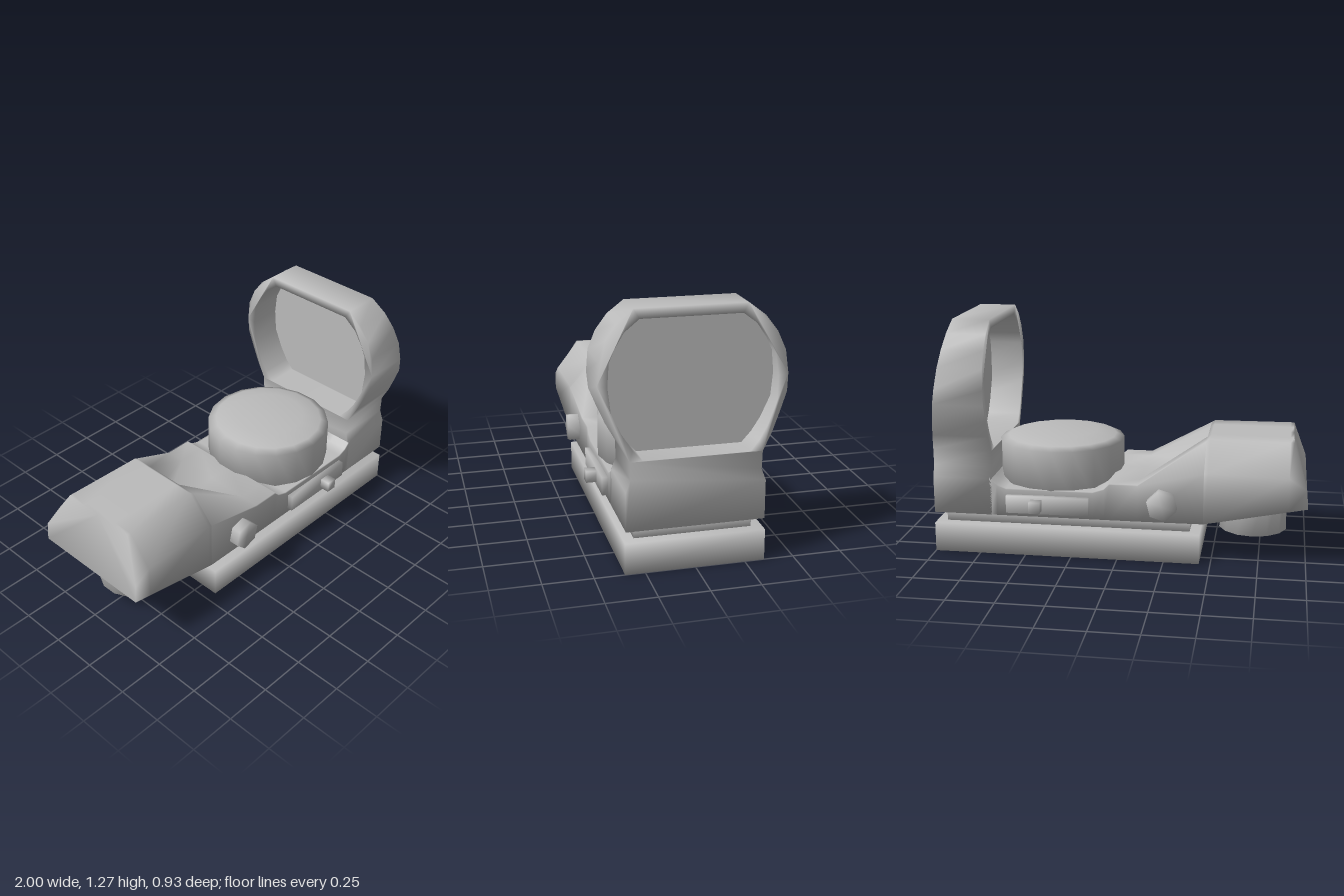
import * as THREE from 'three';
import { mergeVertices } from 'three/addons/utils/BufferGeometryUtils.js';

const grey = new THREE.MeshStandardMaterial({ color: 0xbbbbbb });
grey.name = 'grey';
const paneGrey = new THREE.MeshStandardMaterial({ color: 0xbbbbbb, side: THREE.DoubleSide });
paneGrey.name = 'pane grey';

// Weld corners so the shading rolls softly over every edge
function smooth(geo) {
  geo.deleteAttribute('uv');
  geo.deleteAttribute('normal');
  const g = mergeVertices(geo, 1e-4);
  g.computeVertexNormals();
  return g;
}

function part(group, name, geo, mat = grey) {
  const mesh = new THREE.Mesh(geo, mat);
  mesh.name = name;
  group.add(mesh);
  return mesh;
}

// Box given by its limits on each axis
function slab(x0, x1, y0, y1, z0, z1) {
  const g = new THREE.BoxGeometry(x1 - x0, y1 - y0, z1 - z0);
  g.translate((x0 + x1) / 2, (y0 + y1) / 2, (z0 + z1) / 2);
  return smooth(g);
}

// Body lofted along x: humped tail, sighting groove, dip under the dial
function bodyGeometry() {
  // x, bottom, side top, top, top half width, groove half width, groove floor, end lean
  const stations = [
    [-1, 0.33, 0.43, 0.65, 0.22, 0.11, 0.65, 0.08],
    [-0.9, 0.31, 0.49, 0.65, 0.22, 0.11, 0.65, 0],
    [-0.48, 0.226, 0.5, 0.65, 0.21, 0.11, 0.65, 0],
    [-0.46, 0.222, 0.495, 0.638, 0.215, 0.11, 0.638, 0],
    [-0.458, 0.222, 0.495, 0.637, 0.215, 0.11, 0.44, 0],
    [-0.11, 0.22, 0.415, 0.42, 0.34, 0.235, 0.42, 0],
    [0.04, 0.22, 0.415, 0.42, 0.34, 0.235, 0.42, 0],
    [0.07, 0.22, 0.385, 0.39, 0.34, 0.235, 0.39, 0],
    [0.13, 0.22, 0.365, 0.37, 0.34, 0.235, 0.37, 0],
    [0.6, 0.22, 0.365, 0.37, 0.34, 0.235, 0.37, 0],
    [0.65, 0.22, 0.385, 0.39, 0.34, 0.235, 0.39, 0],
    [0.69, 0.22, 0.425, 0.43, 0.34, 0.235, 0.43, 0],
  ];
  const pos = [], idx = [], n = 11;
  for (const [x, yb, ys, yt, zt, g, yf, lean] of stations) {
    const half = [[0, yf], [g, yf], [g, yt], [zt, yt], [0.345, ys], [0.345, yb]];
    const loop = [...half, ...half.slice(1).reverse().map(([z, y]) => [-z, y])];
    for (const [z, y] of loop) pos.push(x + lean * ((y - yb) / (yt - yb)) ** 2, y, z);
  }
  const last = (stations.length - 1) * n;
  for (let s = 0; s < stations.length - 1; s++) {
    for (let i = 0; i < n; i++) {
      const a = s * n + i, b = s * n + (i + 1) % n;
      idx.push(a, b, a + n, b, b + n, a + n);
    }
  }
  for (let i = 1; i < n - 1; i++) {
    idx.push(0, i + 1, i, last, last + i, last + i + 1);
  }
  const geo = new THREE.BufferGeometry();
  geo.setAttribute('position', new THREE.Float32BufferAttribute(pos, 3));
  geo.setIndex(idx);
  return smooth(geo);
}

// Closed outline mirrored about the centre line
function mirrored(half) {
  const pts = [...half, ...half.slice().reverse().map(([x, y]) => [-x, y])];
  return pts.map(([x, y]) => new THREE.Vector2(x, y));
}

const outer = mirrored([
  [0.345, 0.22], [0.345, 0.42], [0.322, 0.48], [0.325, 0.57], [0.375, 0.66], [0.417, 0.755],
  [0.454, 0.845], [0.463, 0.93], [0.454, 1.04], [0.417, 1.13], [0.36, 1.207], [0.278, 1.27],
]);
const inner = mirrored([
  [0.262, 0.572], [0.31, 0.625], [0.355, 0.695], [0.403, 0.8], [0.414, 0.92],
  [0.403, 1.03], [0.375, 1.09], [0.325, 1.165], [0.25, 1.222],
]);

// Front of the window frame leans back above the neck
const frontX = (y) => 1 - 0.171 * Math.max(0, y - 0.57);

function frameGeometry() {
  const shape = new THREE.Shape(outer);
  shape.holes.push(new THREE.Path(inner));
  const geo = new THREE.ExtrudeGeometry(shape, { depth: 0.32, bevelEnabled: false });
  geo.rotateY(Math.PI / 2);
  geo.translate(0.68, 0, 0);
  const p = geo.attributes.position;
  for (let i = 0; i < p.count; i++) {
    if (p.getX(i) > 0.8) p.setX(i, frontX(p.getY(i)));
  }
  return smooth(geo);
}

export function createModel() {
  const model = new THREE.Group();
  model.name = 'reflexSight';

  // Mounting base and the narrower rail above it
  part(model, 'base', slab(-0.44, 1, 0, 0.16, -0.35, 0.35));
  part(model, 'rail', slab(-0.385, 0.945, 0.15, 0.23, -0.295, 0.295));

  part(model, 'body', bodyGeometry());
  part(model, 'windowFrame', frameGeometry());

  // Upright pane set back inside the frame
  const pane = new THREE.ShapeGeometry(new THREE.Shape(inner));
  pane.rotateY(Math.PI / 2);
  part(model, 'windowPane', pane, paneGrey).position.x = 0.865;

  // Brightness dial with a domed top
  const profile = [[0, 0.3], [0.344, 0.3], [0.344, 0.58], [0.3, 0.6], [0.2, 0.625], [0, 0.625]];
  const dial = new THREE.LatheGeometry(profile.map(([x, y]) => new THREE.Vector2(x, y)), 18);
  part(model, 'dial', smooth(dial)).position.x = 0.355;

  // Knob under the tail
  const knob = new THREE.CylinderGeometry(0.187, 0.187, 0.27, 14);
  part(model, 'tailKnob', smooth(knob)).position.set(-0.71, 0.245, 0);

  // Hex bolt, side plate and pin on both sides
  for (const s of [1, -1]) {
    const side = s > 0 ? 'front' : 'back';
    const hex = new THREE.CylinderGeometry(0.082, 0.082, 0.1, 6);
    hex.rotateX(Math.PI / 2);
    hex.rotateZ(-0.24);
    part(model, side + 'Bolt', smooth(hex)).position.set(-0.243, 0.325, s * 0.35);
    const plate = slab(0.15, 0.595, 0.245, 0.34, -0.0275, 0.0275);
    part(model, side + 'Plate', plate).position.z = s * 0.3475;
    const pin = slab(0.4, 0.46, 0.265, 0.325, -0.04, 0.04);
    part(model, side + 'Pin', pin).position.z = s * 0.39;
  }
  return model;
}
